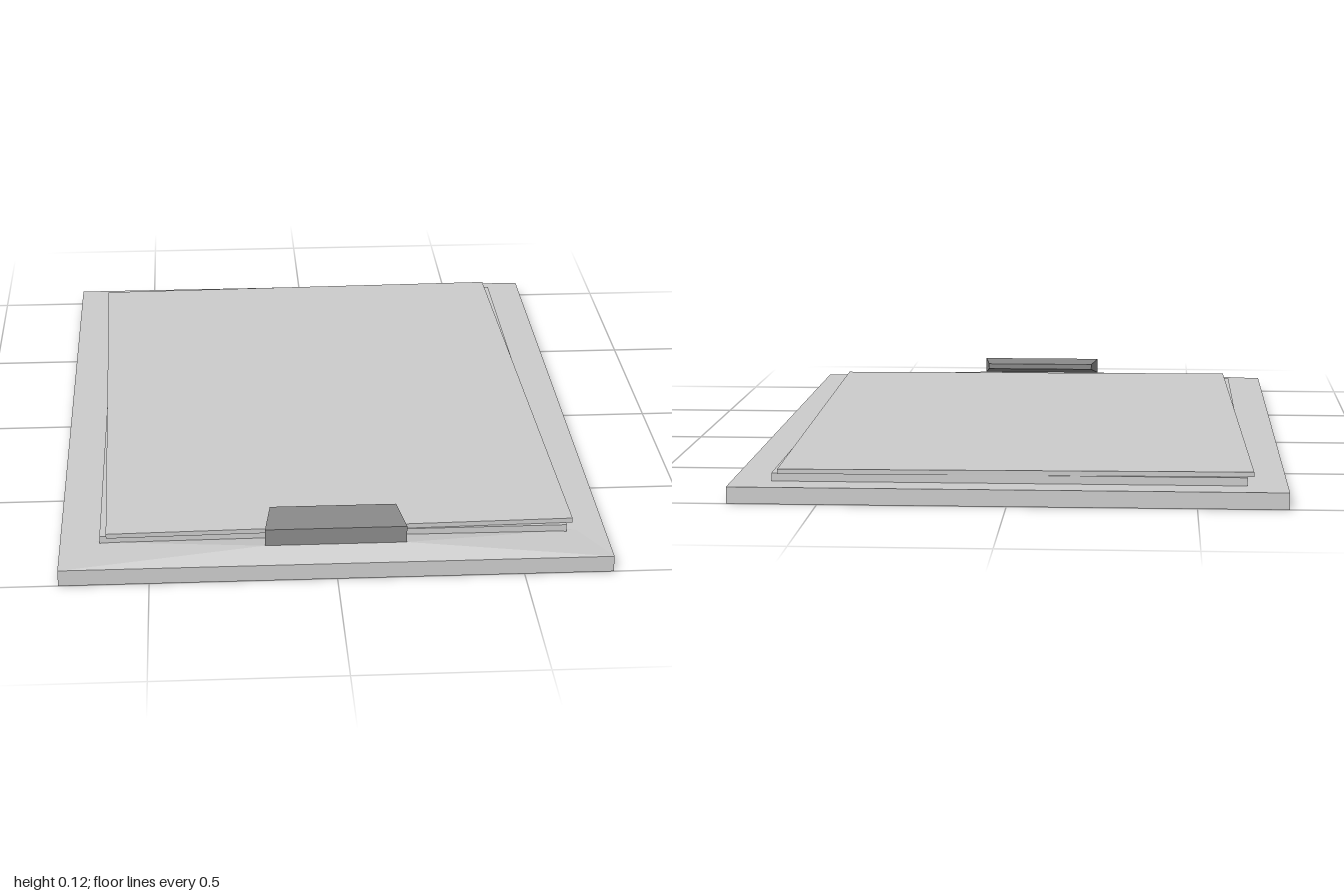
import * as THREE from 'three';

const grey = new THREE.MeshStandardMaterial({ color: 0xcccccc, flatShading: true });
const thin = new THREE.MeshStandardMaterial({ color: 0xcccccc, flatShading: true, side: THREE.DoubleSide });
const dark = new THREE.MeshStandardMaterial({ color: 0x8a8a8a, flatShading: true });

// Box standing on y0, reaching y1
function slab(name, width, length, y0, y1, z) {
  const mesh = new THREE.Mesh(new THREE.BoxGeometry(width, y1 - y0, length), grey);
  mesh.name = name;
  mesh.position.set(0, (y0 + y1) / 2, z);
  return mesh;
}

// Raised plate: low ridge rising from the front edge to the clip, falling behind it
function clipPlate() {
  const half = [[0.74, 0.045, 1], [0.19, 0.07, 0.935], [0.66, 0.045, 0.84], [0.175, 0.045, 0.83]];
  const points = [...half, ...half.map(([x, y, z]) => [-x, y, z])];
  const geometry = new THREE.BufferGeometry();
  geometry.setAttribute('position', new THREE.Float32BufferAttribute(points.flat(), 3));
  geometry.setIndex([
    4, 0, 1, 4, 1, 5, // front slope
    0, 2, 1, 2, 3, 1, // left side of the back slope
    4, 5, 6, 6, 5, 7, // right side of the back slope
    1, 3, 7, 1, 7, 5, // middle of the back slope
  ]);
  const flat = geometry.toNonIndexed();
  flat.computeVertexNormals();
  const mesh = new THREE.Mesh(flat, thin);
  mesh.name = 'clipPlate';
  return mesh;
}

// Clip lever: a box narrowing to the back, with its underside lifted there
function clipLever() {
  const geometry = new THREE.BoxGeometry(0.38, 0.047, 0.135);
  const p = geometry.attributes.position;
  for (let i = 0; i < p.count; i++) {
    if (p.getZ(i) > 0) continue;
    p.setX(i, Math.sign(p.getX(i)) * 0.172);
    if (p.getY(i) < 0) p.setY(i, 0.007);
  }
  geometry.computeVertexNormals();
  const mesh = new THREE.Mesh(geometry, dark);
  mesh.name = 'clipLever';
  mesh.position.set(0, 0.0935, 0.8675);
  return mesh;
}

export function createModel() {
  const group = new THREE.Group();
  group.name = 'clipboard';
  group.add(slab('board', 1.48, 2, 0, 0.045, 0));

  // Two stacks of paper, the upper one slightly askew
  group.add(slab('lowerPaper', 1.266, 1.765, 0.045, 0.067, -0.03));
  const upper = slab('upperPaper', 1.266, 1.765, 0.067, 0.08, -0.03);
  upper.rotation.y = 0.02;
  group.add(upper);

  group.add(clipPlate(), clipLever());
  return group;
}
